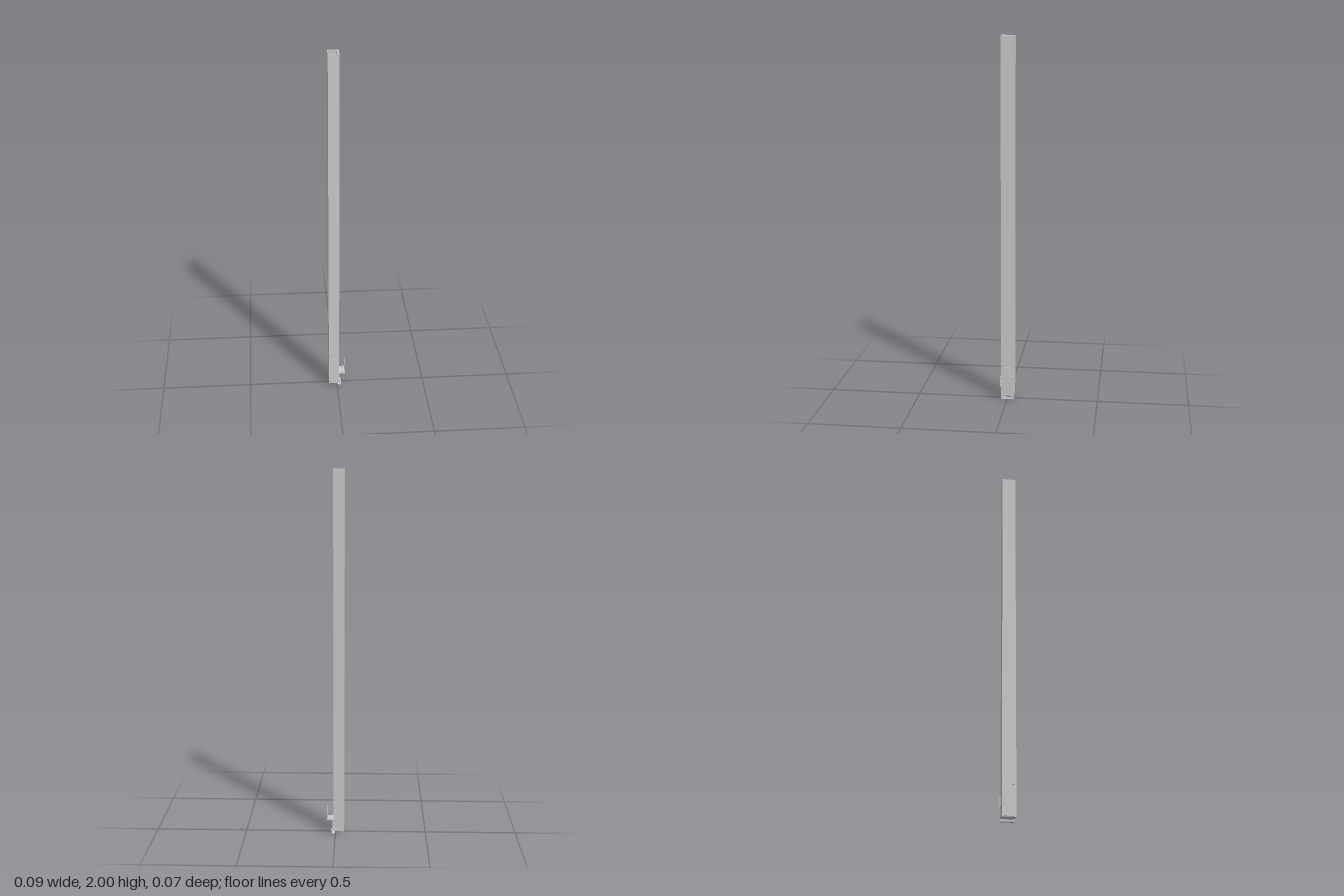
import * as THREE from 'three';

const material = new THREE.MeshStandardMaterial({ color: 0xcccccc, flatShading: true, side: THREE.DoubleSide });

const add = (parent, name, geometry) => {
  const mesh = new THREE.Mesh(geometry, material);
  mesh.name = name;
  parent.add(mesh);
  return mesh;
};

// Box given by its limits on each axis
const block = (parent, name, [x0, x1], [y0, y1], [z0, z1]) => {
  const geometry = new THREE.BoxGeometry(x1 - x0, y1 - y0, z1 - z0);
  geometry.translate((x0 + x1) / 2, (y0 + y1) / 2, (z0 + z1) / 2);
  return add(parent, name, geometry);
};

const rectangle = (Type, x0, x1, y0, y1) =>
  new Type([[x0, y0], [x1, y0], [x1, y1], [x0, y1]].map(p => new THREE.Vector2(...p)));

const roundHole = (x, y, r) => new THREE.Path().absarc(x, y, r, 0, Math.PI * 2, true);

const extrude = (shape, depth) =>
  new THREE.ExtrudeGeometry(shape, { depth, bevelEnabled: false, curveSegments: 8 });

// Horizontal sheet: shape drawn in x and z, rising from y
const flatSheet = (parent, name, shape, y, height) =>
  add(parent, name, extrude(shape, height).rotateX(-Math.PI / 2).translate(0, y, 0));

// Upright sheet facing +x: shape drawn in z and y
const uprightSheet = (parent, name, shape, x, thickness) =>
  add(parent, name, extrude(shape, thickness).rotateY(Math.PI / 2).translate(x, 0, 0));

export function createModel() {
  const model = new THREE.Group();
  model.name = 'post';
  const left = -0.047, seam = 0.004, face = 0.012, half = 0.037, wall = 0.002;

  // Hollow post over a short sleeve, split by a thin joint
  for (const [name, y0, y1] of [['postTube', 0.18, 2], ['lowerSleeve', 0.015, 0.1785]]) {
    const section = rectangle(THREE.Shape, left, seam, -half, half);
    section.holes.push(rectangle(THREE.Path, left + wall, seam - wall, -half + wall, half - wall));
    flatSheet(model, name, section, y0, y1 - y0);
    // Cover strip in two halves with a central seam
    for (const s of [-1, 1]) {
      const z = [s * 0.0005, s * (half - 0.001)].sort((a, b) => a - b);
      block(model, name + 'Cover', [seam, face], [y0, y1], z);
    }
  }

  // Drilled flange and two floor flaps inside the foot
  const flange = rectangle(THREE.Shape, left, seam, -half, half);
  flange.holes.push(rectangle(THREE.Path, -0.039, seam - wall, -0.028, 0.028));
  for (const s of [-1, 1]) {
    flange.holes.push(roundHole(-0.043, s * 0.015, 0.003), roundHole(-0.019, s * 0.0325, 0.003));
    block(model, 'floorFlap', [left + wall, seam], [0.012, 0.015],
      [s * 0.0005, s * 0.035].sort((a, b) => a - b));
  }
  flatSheet(model, 'baseFlange', flange, 0.016, 0.003);

  // Small fasteners down the right side and one near the top at front
  for (const y of [0.33, 0.84, 1.35, 1.86]) {
    const screw = add(model, 'sideScrew', new THREE.CylinderGeometry(0.004, 0.004, 0.001, 10));
    screw.rotation.z = Math.PI / 2;
    screw.position.set(left, y, 0.012);
  }
  const pin = add(model, 'topPin', new THREE.CylinderGeometry(0.003, 0.003, 0.001, 10));
  pin.rotation.x = Math.PI / 2;
  pin.position.set(-0.022, 1.985, half);

  // Bracket: windowed back plate, foot, shelf and drilled upstand
  const bracket = new THREE.Group();
  bracket.name = 'bracket';
  model.add(bracket);
  const w = 0.036;
  const plate = rectangle(THREE.Shape, -w, w, 0, 0.08);
  plate.holes.push(rectangle(THREE.Path, -0.025, 0.025, 0.012, 0.068));
  uprightSheet(bracket, 'backPlate', plate, 0.014, 0.003);
  block(bracket, 'foot', [0.004, 0.024], [0, 0.003], [-w, w]);

  const shelf = rectangle(THREE.Shape, face, 0.047, -w, w);
  const upstand = rectangle(THREE.Shape, -w, w, 0.08, 0.14);
  for (const s of [-1, 1]) {
    shelf.holes.push(roundHole(0.031, s * 0.025, 0.005));
    upstand.holes.push(roundHole(s * 0.022, 0.118, 0.007));
  }
  flatSheet(bracket, 'shelf', shelf, 0.078, 0.003);
  uprightSheet(bracket, 'upstand', upstand, 0.044, 0.003);

  return model;
}
